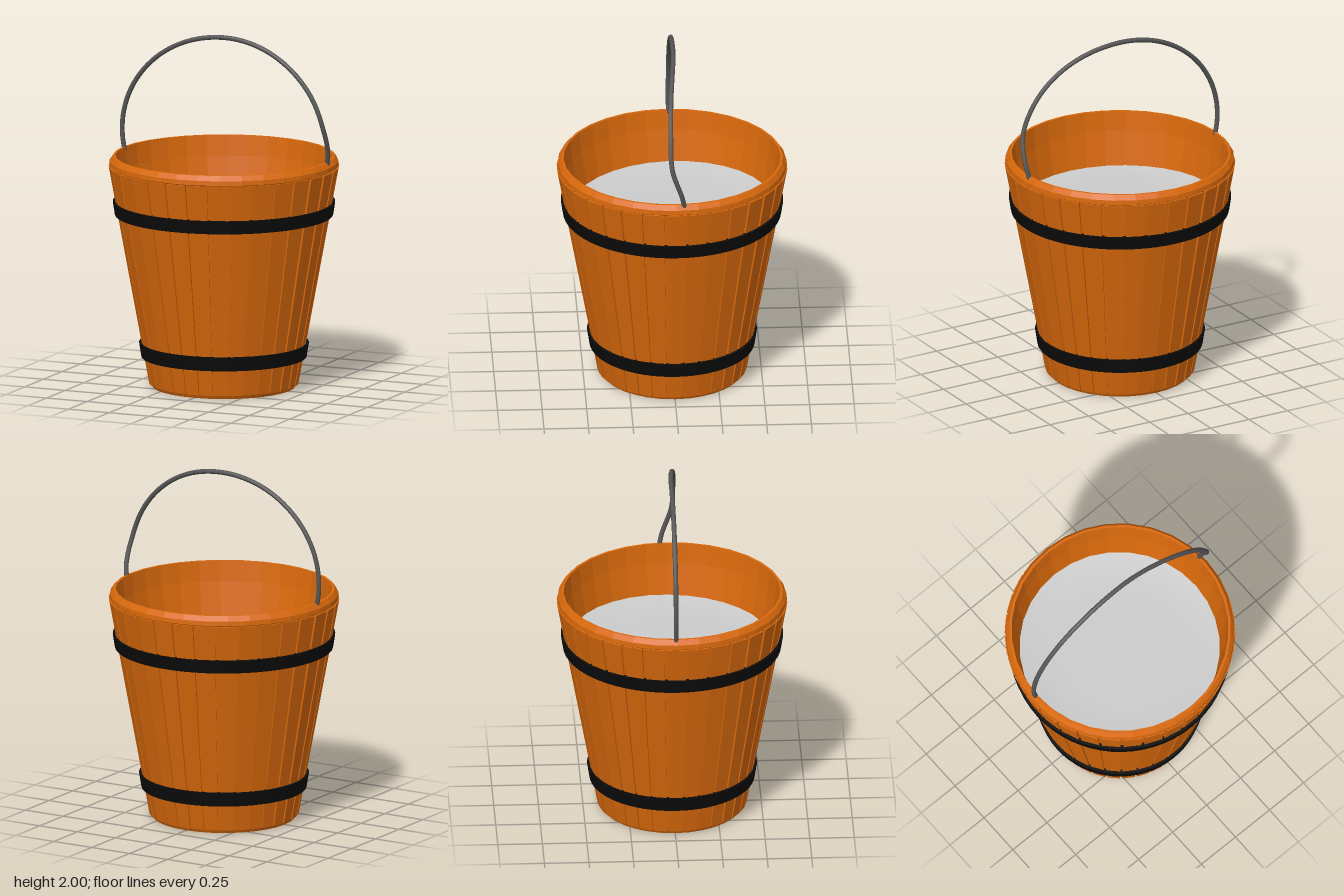
import * as THREE from 'three';

const wood = new THREE.MeshStandardMaterial({ color: 0xd9690c, flatShading: true });
const iron = new THREE.MeshStandardMaterial({ color: 0x0b0b0b });
const steel = new THREE.MeshStandardMaterial({ color: 0x555555 });
const grey = new THREE.MeshStandardMaterial({ color: 0xcccccc, side: THREE.DoubleSide });

const STAVES = 32;
const BOTTOM = 0.02, TOP = 1.257;
// outer radius of the staves at height y
const staveRadius = (y) => THREE.MathUtils.mapLinear(y, BOTTOM, TOP, 0.42, 0.647);

function addMesh(parent, name, geometry, material) {
  const mesh = new THREE.Mesh(geometry, material);
  mesh.name = name;
  parent.add(mesh);
  return mesh;
}

function lathe(points, segments) {
  return new THREE.LatheGeometry(points.map(([r, y]) => new THREE.Vector2(r, y)), segments);
}

// one slightly raised board: a box bent onto the cone
function staveGeometry() {
  const geometry = new THREE.BoxGeometry(1, 1, 1);
  const p = geometry.attributes.position;
  const width = (Math.PI * 2 / STAVES) * 0.86;
  for (let i = 0; i < p.count; i++) {
    const a = p.getX(i) * width;
    const y = p.getY(i) > 0 ? TOP : BOTTOM;
    const r = staveRadius(y) - (p.getZ(i) > 0 ? 0 : 0.03);
    p.setXYZ(i, Math.sin(a) * r, y, Math.cos(a) * r);
  }
  geometry.computeVertexNormals();
  return geometry;
}

// metal hoop with a closed rectangular section following the taper
function hoopGeometry(y0, y1) {
  const r0 = staveRadius(y0) + 0.016, r1 = staveRadius(y1) + 0.014;
  return lathe([
    [r0 - 0.03, y0], [r0, y0], [r0, y0], [r1, y1], [r1, y1], [r1 - 0.03, y1],
  ], 64);
}

// nearly level surface, creeping up a little at the wall and at the back
function contentsGeometry() {
  const geometry = new THREE.RingGeometry(0.001, 1, 48, 8);
  geometry.rotateX(-Math.PI / 2);
  const p = geometry.attributes.position;
  for (let i = 0; i < p.count; i++) {
    const x = p.getX(i), z = p.getZ(i);
    const d = Math.hypot(x, z);
    const y = 1.0 + 0.02 * d ** 6 - 0.015 * z * d;
    p.setXYZ(i, x * 0.573, y, z * 0.573);
  }
  geometry.computeVertexNormals();
  return geometry;
}

// bail: elliptical arc that bends slightly out of plane near the left end
function handleGeometry() {
  const points = [];
  const N = 28, dip = 0.21;
  for (let i = 0; i <= N; i++) {
    const a = Math.PI + dip - (Math.PI + 2 * dip) * (i / N);
    const x = Math.cos(a) * 0.63;
    const y = 1.42 + Math.sin(a) * 0.565;
    let z = -0.005;
    if (x > 0) z += 0.035 * THREE.MathUtils.smoothstep(x, 0, 0.57);
    if (x > 0) z -= 0.075 * (1 - THREE.MathUtils.smoothstep(y, 1.28, 1.58));
    points.push(new THREE.Vector3(x, y, z));
  }
  return new THREE.TubeGeometry(new THREE.CatmullRomCurve3(points), 80, 0.0135, 10);
}

export function createModel() {
  const bucket = new THREE.Group();
  bucket.name = 'bucket';

  // hollow tub with chamfered foot and rim
  addMesh(bucket, 'tub', lathe([
    [0, 0], [0.4, 0], [0.411, 0.02], [0.636, 1.257], [0.643, 1.262], [0.641, 1.288],
    [0.622, 1.315], [0.608, 1.315], [0.595, 1.2], [0.385, 0.06], [0, 0.06],
  ], STAVES), wood);

  // raised boards around the outside
  const staves = new THREE.Group();
  staves.name = 'staves';
  const board = staveGeometry();
  for (let i = 0; i < STAVES; i++) {
    addMesh(staves, 'stave', board, wood).rotation.y = (i / STAVES) * Math.PI * 2;
  }
  bucket.add(staves);

  addMesh(bucket, 'lowerHoop', hoopGeometry(0.17, 0.25), iron);
  addMesh(bucket, 'upperHoop', hoopGeometry(0.98, 1.055), iron);
  addMesh(bucket, 'contents', contentsGeometry(), grey);

  // handle with closed ends
  const handle = new THREE.Group();
  handle.name = 'handle';
  const tube = handleGeometry();
  addMesh(handle, 'handleBail', tube, steel);
  for (const t of [0, 1]) {
    const end = addMesh(handle, 'handleEnd', new THREE.SphereGeometry(0.0135, 10, 8), steel);
    end.position.copy(tube.parameters.path.getPointAt(t));
  }
  bucket.add(handle);

  return bucket;
}
